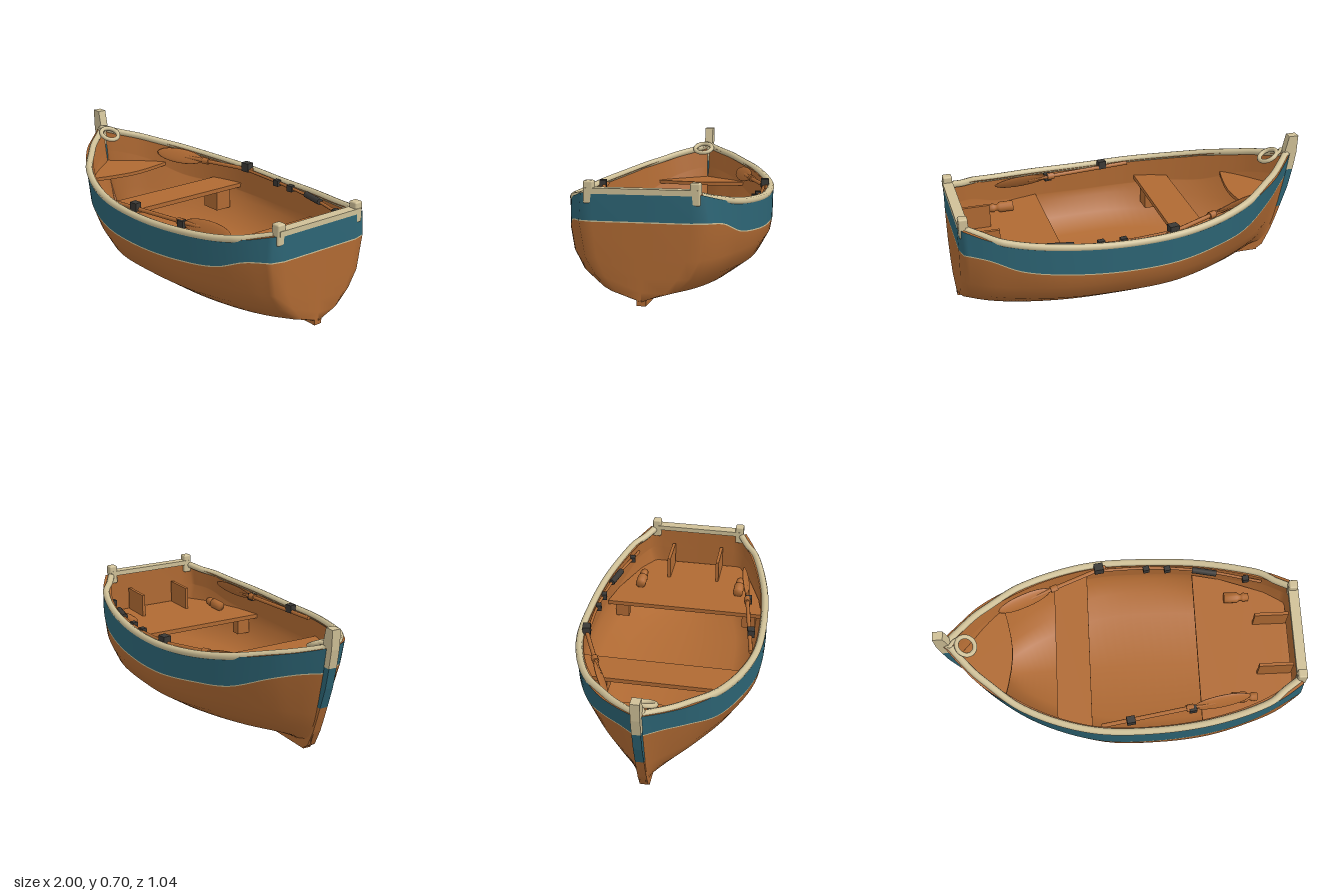
import * as THREE from 'three';
import { RoundedBoxGeometry } from 'three/addons/geometries/RoundedBoxGeometry.js';

const mat = (name, color) => {
  const m = new THREE.MeshStandardMaterial({ color });
  m.name = name;
  return m;
};

export function createModel() {
  const wood = mat('wood', 0xb06a33);
  const teal = mat('teal paint', 0x2d6575);
  const cream = mat('cream trim', 0xcfc097);
  const dark = mat('dark metal', 0x3a3835);
  const boat = new THREE.Group();
  boat.name = 'rowingBoat';

  const add = (name, geo, material, pos = [0, 0, 0], rot = [0, 0, 0], parent = boat) => {
    const m = new THREE.Mesh(geo, material);
    m.name = name;
    m.position.set(...pos);
    m.rotation.set(...rot);
    parent.add(m);
    return m;
  };
  const box = (name, size, pos, material, rot) => add(name, new THREE.BoxGeometry(...size), material, pos, rot);
  const vec = pts => pts.map(p => new THREE.Vector3(...p));

  // Surface through rows of points; each strip between rows takes a material index
  const grid = (rows, strips) => {
    const geo = new THREE.BufferGeometry();
    const n = rows[0].length, index = [];
    geo.setAttribute('position', new THREE.Float32BufferAttribute(rows.flat().flatMap(p => [p.x, p.y, p.z]), 3));
    for (let r = 0; r < rows.length - 1; r++) {
      geo.addGroup(index.length, (n - 1) * 6, strips ? strips[r] : 0);
      for (let c = 0; c < n - 1; c++) {
        const a = r * n + c, b = a + n;
        index.push(a, a + 1, b, a + 1, b + 1, b);
      }
    }
    geo.setIndex(index);
    geo.computeVertexNormals();
    return geo;
  };

  // Hull lines: station positions, heights and half widths from bow to stern
  const X = [-0.96, -0.88, -0.78, -0.6, -0.4, -0.15, 0.15, 0.45, 0.7, 0.86, 0.982];
  const sheerY = [0.6, 0.572, 0.545, 0.5, 0.468, 0.448, 0.44, 0.453, 0.475, 0.505, 0.54];
  const bandY = [0.46, 0.445, 0.41, 0.332, 0.311, 0.29, 0.285, 0.3, 0.328, 0.386, 0.402];
  const bandZ = [0.018, 0.11, 0.215, 0.343, 0.438, 0.503, 0.514, 0.49, 0.433, 0.375, 0.31];
  const flat = v => X.map(() => v);
  const lines = [
    [flat(0.02), flat(0)],
    [flat(0.065), [0.015, 0.035, 0.09, 0.19, 0.27, 0.335, 0.35, 0.335, 0.285, 0.225, 0.15]],
    [flat(0.135), [0.015, 0.06, 0.14, 0.255, 0.36, 0.44, 0.455, 0.435, 0.37, 0.305, 0.225]],
    [flat(0.225), [0.015, 0.085, 0.18, 0.305, 0.41, 0.49, 0.505, 0.48, 0.415, 0.355, 0.28]],
    [bandY, bandZ],
    [bandY.map(y => y + 0.006), bandZ],
    [sheerY, [0.02, 0.118, 0.226, 0.35, 0.442, 0.505, 0.515, 0.49, 0.433, 0.372, 0.3]],
  ];
  const stemX = y => -0.768 - 0.19 * Math.pow(y / 0.6, 0.45);
  const curves = lines.map(([ys, zs]) => new THREE.CatmullRomCurve3(X.map((x, i) =>
    new THREE.Vector3(1 - (1 - x) * (1 - stemX(ys[i])) / 1.96, ys[i], zs[i]))).getPoints(50));
  const mirror = pts => pts.map(p => new THREE.Vector3(p.x, p.y, -p.z));
  const around = ls => [...ls.slice(1).reverse().map(mirror), ...ls];
  // Carry every line round the stern corner to the centreline, so the corner shades softly
  const closeStern = ls => ls.map(l => {
    const p = l[l.length - 1];
    return [...l, ...[0.78, 0].map(k => new THREE.Vector3(p.x + 0.018, p.y, p.z * k))];
  });
  add('hull', grid(around(closeStern(curves)), [2, 1, 0, 0, 0, 0, 0, 0, 0, 0, 1, 2]), [wood, cream, teal]);

  // Inner skin
  const inner = curves.map((l, i) => l.map(p =>
    new THREE.Vector3(p.x * 0.97, p.y + (i < 4 ? 0.02 : 0), Math.max(p.z - 0.022, 0))));
  add('innerHull', grid(around(closeStern(inner)).reverse()), [wood]);

  // Wooden top edge, with cream rails that draw inwards towards both ends
  const edge = [curves[6], curves[6].map(p => new THREE.Vector3(p.x * 0.97, p.y, Math.max(p.z - 0.04, 0)))];
  add('leftTopEdge', grid(edge), [wood]);
  add('rightTopEdge', grid(edge.map(mirror).reverse()), [wood]);
  const railPath = curves[6].slice(1, -1).map(p => {
    const inset = 0.016 + 0.024 * THREE.MathUtils.smoothstep(-p.x, 0.55, 0.75)
      + 0.024 * THREE.MathUtils.smoothstep(p.x, 0.8, 0.9);
    return new THREE.Vector3(p.x, p.y + 0.002, Math.max(p.z - inset, 0.012));
  });
  for (const [side, path] of [[1, railPath], [-1, mirror(railPath)]]) {
    add('gunwale', new THREE.TubeGeometry(new THREE.CatmullRomCurve3(path), 70, 0.02, 8), cream);
    add('sternPost', new RoundedBoxGeometry(0.05, 0.11, 0.05, 2, 0.009), cream, [0.972, 0.544, side * 0.26]);
  }
  box('transomCap', [0.055, 0.028, 0.55], [0.973, 0.551, 0], cream);

  // Keel and stem
  box('keel', [1.78, 0.035, 0.046], [0.11, 0.0175, 0], wood);
  const slab = (name, pts, width, material) => {
    const g = new THREE.ExtrudeGeometry(new THREE.Shape(pts.map(p => new THREE.Vector2(...p))),
      { depth: width, bevelEnabled: false });
    add(name, g.translate(0, 0, -width / 2), material);
  };
  slab('lowerStem', [[-0.77, 0], [-0.7, 0], [-0.72, 0.04], [-0.8, 0.12], [-0.87, 0.27], [-0.914, 0.27],
    [-0.89, 0.2], [-0.86, 0.12], [-0.815, 0.03]], 0.046, wood);
  slab('paintedStem', [[-0.914, 0.27], [-0.87, 0.27], [-0.91, 0.5], [-0.978, 0.5], [-0.953, 0.385]], 0.046, teal);
  slab('stemHead', [[-0.978, 0.5], [-0.91, 0.5], [-0.92, 0.6], [-0.945, 0.705], [-1, 0.705], [-0.995, 0.6]], 0.048, cream);

  // Flat boards from half outlines of [x, z]
  const plank = (name, half, top, thick) => {
    const pts = [...half, ...half.map(([x, z]) => [x, -z]).reverse()];
    const g = new THREE.ExtrudeGeometry(new THREE.Shape(pts.map(p => new THREE.Vector2(...p))),
      { depth: thick, bevelEnabled: false });
    add(name, g.rotateX(Math.PI / 2), wood, [0, top, 0]);
  };
  plank('foreDeck', [[-0.9, 0.015], [-0.85, 0.075], [-0.77, 0.165], [-0.69, 0.242], [-0.645, 0.27],
    [-0.625, 0.19], [-0.608, 0.1], [-0.6, 0.03]], 0.4, 0.02);
  plank('middleThwart', [[-0.36, 0.43], [-0.17, 0.475]], 0.345, 0.025);
  plank('sternSeat', [[0.44, 0.465], [0.6, 0.43], [0.75, 0.375], [0.88, 0.325], [0.96, 0.28]], 0.31, 0.025);

  for (const s of [1, -1]) {
    box('thwartBracket', [0.12, 0.13, 0.1], [-0.25, 0.265, s * 0.355], wood);
    box('seatBracket', [0.06, 0.1, 0.08], [0.5, 0.24, s * 0.385], wood);
    box('seatDivider', [0.19, 0.135, 0.018], [0.86, 0.375, s * 0.15], wood);
    // Small turned bottle lying on the stern seat
    const profile = [[0, 0], [0.03, 0], [0.03, 0.075], [0.018, 0.09], [0.018, 0.1], [0.026, 0.11], [0.022, 0.14], [0, 0.14]];
    add('bottle', new THREE.LatheGeometry(profile.map(p => new THREE.Vector2(...p)), 14), wood,
      [0.61, 0.342, s * 0.3], [0, 0, -Math.PI / 2]);
  }

  // Oars resting along the rails
  const oar = (pos, turn, length, tilt) => {
    const g = new THREE.Group();
    g.name = 'oar';
    g.position.set(...pos);
    g.rotation.set(0, turn, -0.03, 'YXZ');
    boat.add(g);
    const blade = new THREE.SphereGeometry(1, 18, 10).scale(0.16, 0.045, 0.01);
    add('oarBlade', blade, wood, [0.16, 0, 0], [tilt, 0, 0], g);
    add('oarShaft', new THREE.CylinderGeometry(0.012, 0.012, length - 0.2, 8), wood,
      [0.1 + length / 2, 0, 0], [0, 0, Math.PI / 2], g);
    add('oarCollar', new THREE.CylinderGeometry(0.02, 0.02, 0.04, 8), wood, [0.34, 0, 0], [0, 0, Math.PI / 2], g);
  };
  oar([-0.67, 0.47, -0.22], 0.4, 0.66, -0.6);
  oar([0.7, 0.465, 0.33], Math.PI + 0.157, 0.83, 0.5);
  const rod = [[-0.1, 0.45, -0.455], [0.2, 0.44, -0.463], [0.5, 0.44, -0.43], [0.82, 0.44, -0.35]];
  add('sideRod', new THREE.TubeGeometry(new THREE.CatmullRomCurve3(vec(rod)), 24, 0.009, 6), wood);

  // Dark clamps on the rails
  const clamps = [[-0.1, 0.467, -0.46, 0.052], [0.17, 0.44, -0.455, 0.035], [0.29, 0.44, -0.45, 0.035],
    [0.73, 0.44, -0.37, 0.035], [0.04, 0.46, 0.442, 0.046], [0.38, 0.45, 0.39, 0.04]];
  for (const [x, y, z, s] of clamps) box('clamp', [s, s, s * 0.85], [x, y, z], dark, [0, 0.15, 0]);
  add('grip', new THREE.CylinderGeometry(0.018, 0.018, 0.14, 10), dark, [0.5, 0.445, -0.423], [0, -0.2, Math.PI / 2]);

  // Mooring ring and its short rope at the bow
  add('mooringRing', new THREE.TorusGeometry(0.053, 0.013, 8, 28), cream, [-0.837, 0.586, 0.018], [-Math.PI / 2, 0.47, 0]);
  const rope = [[-0.95, 0.6, 0.01], [-0.92, 0.61, 0.025], [-0.9, 0.61, 0], [-0.87, 0.605, -0.02]];
  add('mooringRope', new THREE.TubeGeometry(new THREE.CatmullRomCurve3(vec(rope)), 16, 0.011, 6), cream);

  return boat;
}
